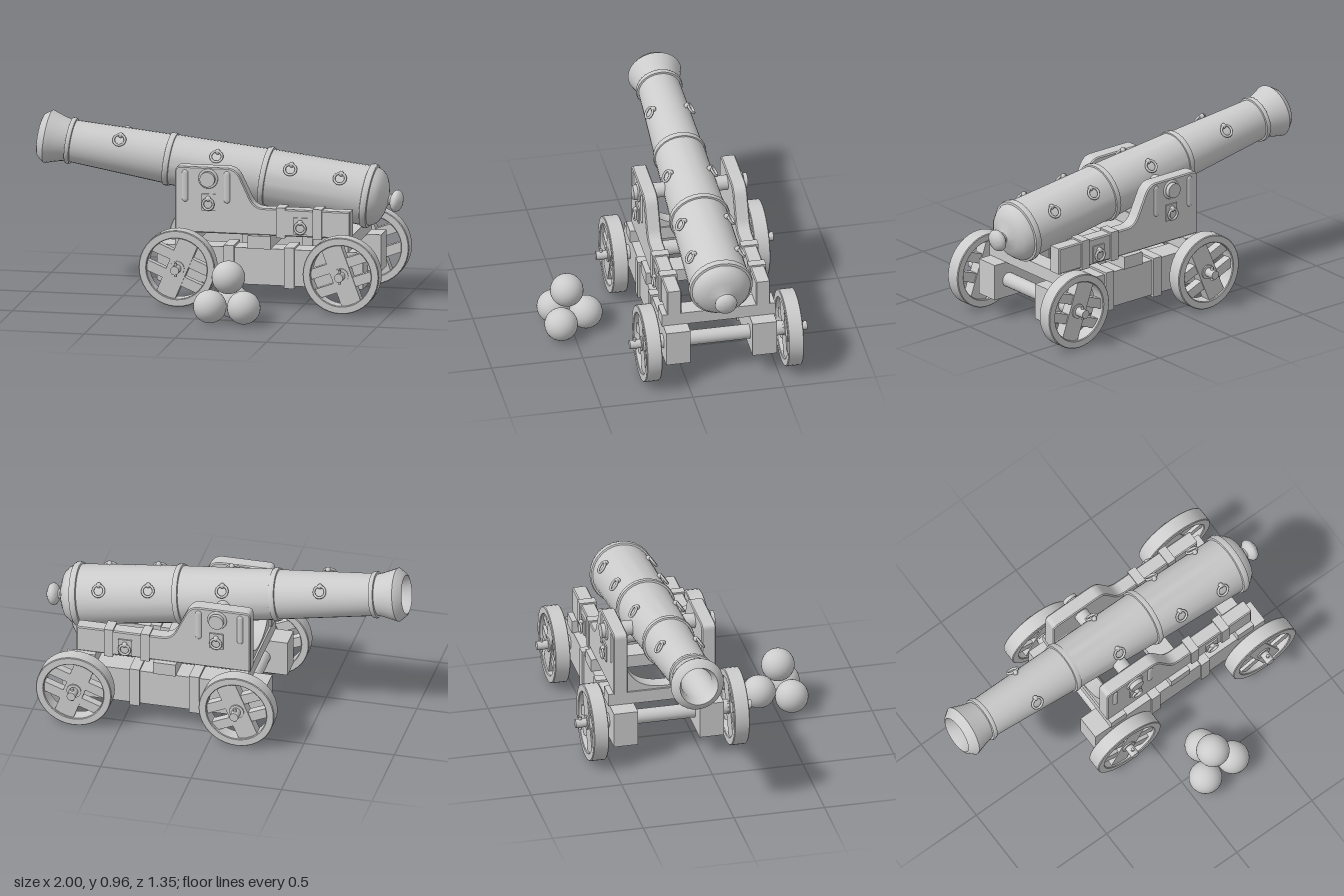
import * as THREE from 'three';
import { toCreasedNormals } from 'three/addons/utils/BufferGeometryUtils.js';

const grey = new THREE.MeshStandardMaterial({ color: 0xcccccc });
const MID = -0.19; // z of the gun's centre plane

function add(parent, name, geometry, x = 0, y = 0, z = 0) {
  const mesh = new THREE.Mesh(geometry, grey);
  mesh.name = name;
  mesh.position.set(x, y, z);
  parent.add(mesh);
  return mesh;
}

function group(parent, name, x = 0, y = 0, z = 0) {
  const g = new THREE.Group();
  g.name = name;
  g.position.set(x, y, z);
  parent.add(g);
  return g;
}

// Box given by its limits on each axis
function box(parent, name, x0, x1, y0, y1, z0, z1) {
  return add(parent, name, new THREE.BoxGeometry(x1 - x0, y1 - y0, z1 - z0),
    (x0 + x1) / 2, (y0 + y1) / 2, (z0 + z1) / 2);
}

// Cylinder lying along z
function rod(parent, name, r, length, x, y, z, sides = 20) {
  return add(parent, name, new THREE.CylinderGeometry(r, r, length, sides).rotateX(Math.PI / 2), x, y, z);
}

// Extruded shape, centred on its depth and slightly bevelled
function slab(shape, depth, bevel = 0.006) {
  const g = new THREE.ExtrudeGeometry(shape, {
    depth: depth - 2 * bevel, bevelEnabled: bevel > 0, bevelSize: bevel, bevelOffset: -bevel,
    bevelThickness: bevel, bevelSegments: 1, curveSegments: 20,
  });
  return toCreasedNormals(g.translate(0, 0, -depth / 2 + bevel), 0.5);
}

// Loose ring hanging from an eye, facing +z
function ringBolt(parent, name, radius) {
  const g = group(parent, name);
  add(g, 'ring', new THREE.TorusGeometry(radius, 0.007, 8, 20), 0, 0, 0.012);
  add(g, 'eye', new THREE.SphereGeometry(0.015, 10, 8), 0, radius, 0.006);
  return g;
}

function buildBarrel(root) {
  const barrel = group(root, 'barrel', -0.013, 0.683, MID);
  barrel.rotation.z = -THREE.MathUtils.degToRad(8);
  // radius, distance along the axis: bore, muzzle, reinforcing bands, breech
  const profile = [
    [0, -0.3], [0.085, -0.3], [0.085, -0.93], [0.105, -0.988], [0.118, -0.982], [0.146, -0.945],
    [0.138, -0.92], [0.122, -0.87], [0.113, -0.832], [0.124, -0.83], [0.128, -0.82], [0.124, -0.806],
    [0.115, -0.804], [0.134, -0.285], [0.143, -0.283], [0.146, -0.268], [0.143, -0.253],
    [0.137, -0.251], [0.153, 0.25], [0.163, 0.252], [0.166, 0.266], [0.163, 0.28], [0.154, 0.282],
    [0.163, 0.815], [0.172, 0.818], [0.176, 0.835], [0.172, 0.852], [0.16, 0.855], [0.15, 0.88],
    [0.128, 0.905], [0.09, 0.922], [0.045, 0.934], [0.03, 0.942], [0.028, 0.952], [0.045, 0.96],
    [0.058, 0.972], [0.061, 0.986], [0.052, 1.003], [0.03, 1.015], [0, 1.019],
  ].map(([r, s]) => new THREE.Vector2(r, s));
  const tube = toCreasedNormals(new THREE.LatheGeometry(profile, 28), 0.7);
  add(barrel, 'gunTube', tube.rotateZ(-Math.PI / 2));
  rod(barrel, 'trunnion', 0.041, 0.625, 0, 0, 0, 24);

  const lift = THREE.MathUtils.degToRad(35);
  for (const side of [1, -1]) {
    for (const [s, r] of [[-0.54, 0.127], [0, 0.146], [0.41, 0.157], [0.685, 0.16]]) {
      const bolt = ringBolt(barrel, 'barrelRing', 0.031);
      bolt.position.set(s, r * Math.sin(lift), side * r * Math.cos(lift));
      bolt.rotation.x = -lift;
      if (side < 0) bolt.rotation.x = Math.PI + lift;
      if (side < 0) bolt.rotation.z = Math.PI;
    }
  }
}

function buildCheek(parent) {
  const cheek = group(parent, 'cheek');
  const s = new THREE.Shape();
  s.moveTo(-0.195, 0.385);
  s.lineTo(-0.195, 0.715);
  s.quadraticCurveTo(-0.195, 0.745, -0.165, 0.745);
  s.lineTo(0.09, 0.745);
  s.quadraticCurveTo(0.14, 0.745, 0.165, 0.69);
  s.lineTo(0.215, 0.585);
  s.quadraticCurveTo(0.24, 0.533, 0.29, 0.533);
  s.lineTo(0.765, 0.533);
  s.lineTo(0.765, 0.385);
  add(cheek, 'cheekPlank', slab(s, 0.079), 0, 0, 0.2435);

  // Iron straps and upright bars
  for (const x of [0.385, 0.587]) box(cheek, 'cheekStrap', x - 0.025, x + 0.025, 0.376, 0.542, 0.196, 0.291);
  for (const x of [-0.14, 0.09]) {
    add(cheek, 'cheekBar', new THREE.CapsuleGeometry(0.018, 0.14, 4, 10).scale(1, 1, 0.5), x, 0.64, 0.281);
  }
  add(cheek, 'trunnionCollar', new THREE.TorusGeometry(0.046, 0.008, 8, 24), -0.013, 0.683, 0.283);

  // Ring plates
  for (const [x, y] of [[-0.01, 0.555], [0.495, 0.445]]) {
    box(cheek, 'ringPlate', x - 0.038, x + 0.038, y - 0.046, y + 0.046, 0.28, 0.291);
    ringBolt(cheek, 'cheekRing', 0.029).position.set(x, y - 0.008, 0.291);
  }
}

function buildWheel(parent, x, tilt) {
  const wheel = group(parent, 'wheel', x, 0.213, 0.388);
  const rim = new THREE.Shape().absarc(0, 0, 0.209, 0, Math.PI * 2);
  rim.holes.push(new THREE.Path().absarc(0, 0, 0.166, 0, Math.PI * 2, true));
  add(wheel, 'rim', slab(rim, 0.084, 0.004));
  // Planked centre: one broad board crossed by two narrow ones
  const boards = group(wheel, 'boards');
  boards.rotation.z = tilt;
  box(boards, 'broadBoard', -0.055, 0.055, -0.165, 0.165, -0.03, 0.03);
  for (const y of [-0.055, 0.055]) box(boards, 'crossBoard', -0.165, 0.165, y - 0.027, y + 0.027, -0.024, 0.024);
  rod(wheel, 'hub', 0.04, 0.074, 0, 0, 0);
  rod(wheel, 'axleEnd', 0.024, 0.14, 0, 0, 0.027);
  add(wheel, 'linchPin', new THREE.CylinderGeometry(0.009, 0.009, 0.075, 8), 0, 0, 0.069);
}

function buildCarriage(root) {
  const carriage = group(root, 'carriage', 0, 0, MID);
  for (const side of [0, 1]) {
    // The far side is the near one mirrored across the centre plane
    const half = group(carriage, side ? 'rightHalf' : 'leftHalf');
    half.scale.z = side ? -1 : 1;
    buildCheek(half);
    box(half, 'bedBeam', -0.29, 0.84, 0.118, 0.318, 0.17, 0.303);
    for (const x of [0.107, 0.437]) {
      box(half, 'bedStrap', x - 0.028, x + 0.028, 0.106, 0.33, 0.16, 0.315);
    }
    buildWheel(half, -0.155, -0.4);
    buildWheel(half, 0.745, 0.35);
  }
  for (const x of [-0.155, 0.745]) rod(carriage, 'axle', 0.04, 0.7, x, 0.215, 0);
  // Cross pieces between bed and cheeks
  for (const [x0, x1] of [[-0.19, -0.09], [0.21, 0.335], [0.655, 0.76]]) {
    box(carriage, 'crossPiece', x0, x1, 0.316, 0.387, -0.311, 0.311);
  }
  // Hollowed transom under the gun
  const t = new THREE.Shape();
  t.moveTo(-0.21, 0.38);
  t.lineTo(0.21, 0.38);
  t.lineTo(0.21, 0.54);
  t.quadraticCurveTo(0.17, 0.4, 0, 0.4);
  t.quadraticCurveTo(-0.17, 0.4, -0.21, 0.54);
  const transom = add(carriage, 'transom', slab(t, 0.08, 0), -0.14, 0, 0);
  transom.rotation.y = Math.PI / 2;
}

function buildShot(root) {
  const pile = group(root, 'shotPile');
  for (const [x, y, z] of [[0.19, 0.242, 0.525], [0.1, 0.09, 0.58], [0.285, 0.09, 0.575], [0.19, 0.09, 0.42]]) {
    add(pile, 'ball', new THREE.SphereGeometry(0.09, 28, 18), x, y, z);
  }
}

export function createModel() {
  const root = new THREE.Group();
  root.name = 'navalGun';
  buildBarrel(root);
  buildCarriage(root);
  buildShot(root);
  return root;
}
